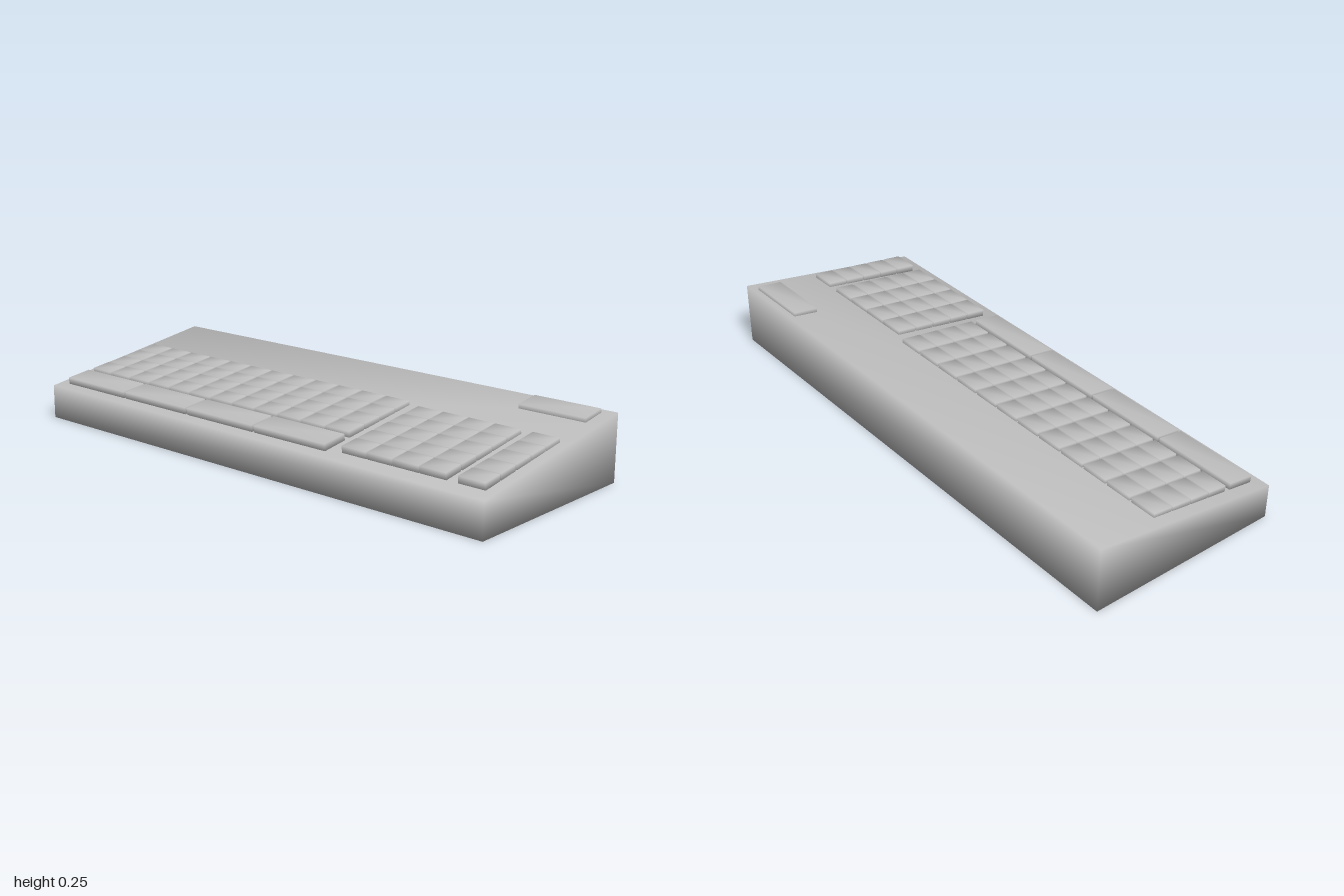
import * as THREE from 'three';
import { mergeVertices } from 'three/addons/utils/BufferGeometryUtils.js';

// Shares corners between faces so that the shading rolls over the edges
function soften(geometry) {
  geometry.deleteAttribute('normal');
  geometry.deleteAttribute('uv');
  const soft = mergeVertices(geometry);
  soft.computeVertexNormals();
  return soft;
}

export function createModel() {
  const model = new THREE.Group();
  model.name = 'keyboard';
  const plastic = new THREE.MeshStandardMaterial({ color: 0xc0c0c0 });
  plastic.name = 'grey plastic';

  // Wedge case: low at the front, high at the back
  const depth = 0.736, frontHeight = 0.125, backHeight = 0.239;
  const block = new THREE.BoxGeometry(2, depth, 1).rotateX(Math.PI / 2);
  const p = block.attributes.position;
  for (let i = 0; i < p.count; i++) {
    const top = p.getZ(i) > 0 ? frontHeight : backHeight;
    p.setY(i, p.getY(i) > 0 ? top : 0);
  }
  const body = new THREE.Mesh(soften(block), plastic);
  body.name = 'case';
  model.add(body);

  // Keys lean with the case and sink a little into it
  const slope = 0.135, thickness = 0.03;
  const keyTop = z => 0.156 + 0.131 * (0.33 - z);
  const addKeys = (name, columns, rows, x0, z0, pitchX, pitchZ, w, d, topAt = keyTop) => {
    const group = new THREE.Group();
    group.name = name;
    const geometry = soften(new THREE.BoxGeometry(w, thickness, d));
    for (let r = 0; r < rows; r++) {
      for (let c = 0; c < columns; c++) {
        const key = new THREE.Mesh(geometry, plastic);
        const z = z0 + r * pitchZ;
        key.name = 'key';
        key.position.set(x0 + c * pitchX, topAt(z) - thickness / 2, z);
        key.rotation.x = Math.atan(slope);
        group.add(key);
      }
    }
    model.add(group);
  };

  addKeys('mainKeys', 12, 4, -0.905, -0.07, 0.1093, 0.08, 0.1, 0.075);
  addKeys('wideKeys', 4, 1, -0.796, 0.279, 0.328, 0, 0.318, 0.099);
  addKeys('numberKeys', 4, 5, 0.455, -0.046, 0.105, 0.08, 0.1, 0.074);
  addKeys('sideKeys', 1, 5, 0.914, -0.046, 0, 0.08, 0.1, 0.074);

  // Indicator block in the back corner
  addKeys('indicatorPanel', 1, 1, 0.823, -0.298, 0, 0, 0.258, 0.096, () => 0.243);

  return model;
}
